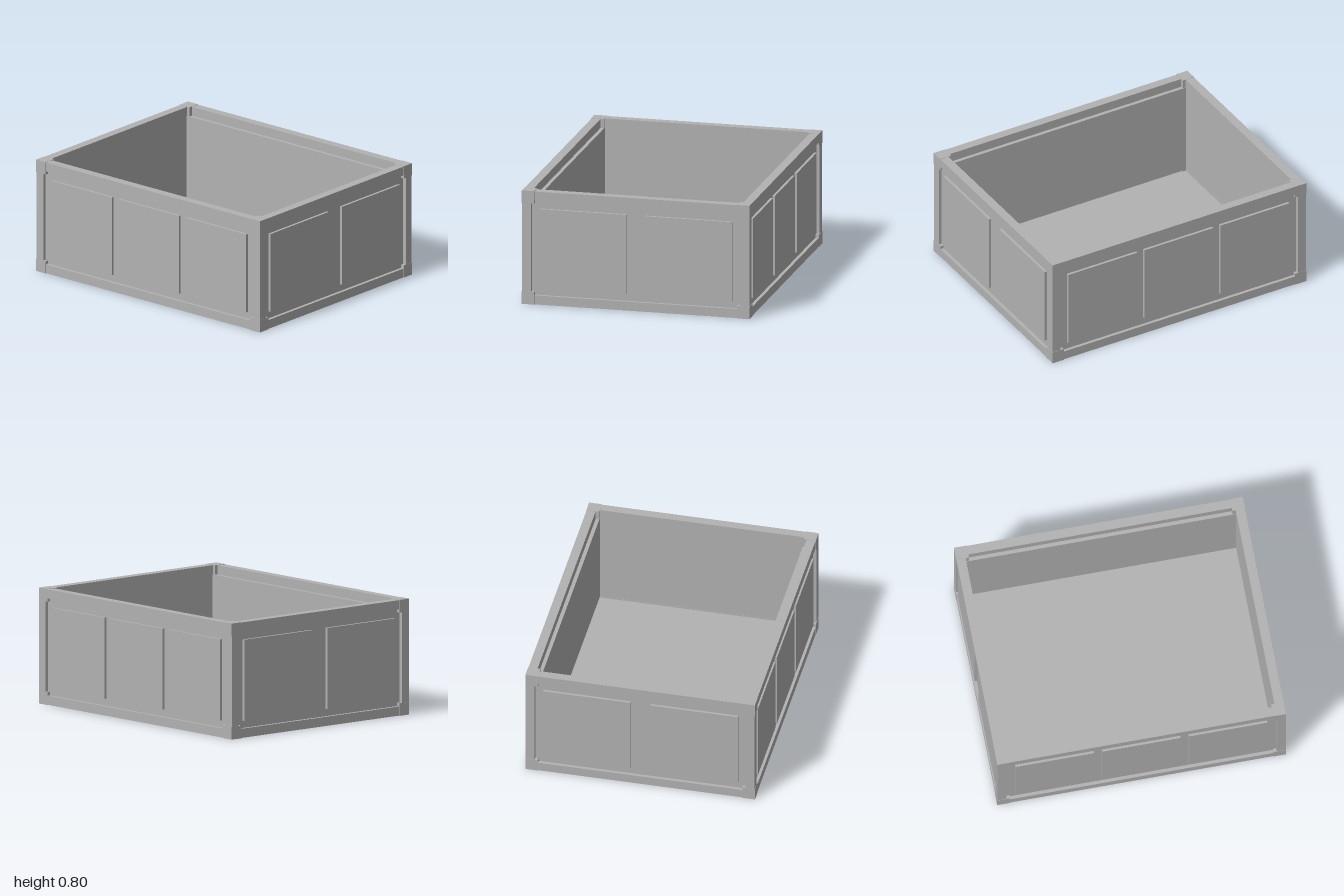
import * as THREE from 'three';

const W = 0.8, H = 0.8, D = 1;         // half width, height, half depth
const BAR = 0.065, CUBE = 0.088;       // frame bar and corner block thickness
const TRIM = 0.002;                    // bars sit just inside the corner blocks

export function createModel() {
  const model = new THREE.Group();
  model.name = 'openCrate';
  const grey = new THREE.MeshStandardMaterial({ color: 0xb2b2b2 });
  grey.name = 'grey';

  // box between two opposite corners
  function box(name, x0, x1, y0, y1, z0, z1) {
    const mesh = new THREE.Mesh(
      new THREE.BoxGeometry(Math.abs(x1 - x0), Math.abs(y1 - y0), Math.abs(z1 - z0)), grey);
    mesh.position.set((x0 + x1) / 2, (y0 + y1) / 2, (z0 + z1) / 2);
    mesh.name = name;
    model.add(mesh);
  }

  const low = [TRIM, BAR], high = [H - BAR, H - TRIM];
  for (const sx of [-1, 1]) {
    for (const sz of [-1, 1]) {
      // corner post with a block at each end
      box('cornerPost', sx * (W - BAR), sx * (W - TRIM), CUBE, H - CUBE,
        sz * (D - BAR), sz * (D - TRIM));
      for (const [y0, y1] of [[0, CUBE], [H - CUBE, H]]) {
        box('cornerBlock', sx * (W - CUBE), sx * W, y0, y1, sz * (D - CUBE), sz * D);
      }
    }
  }

  for (const s of [-1, 1]) {
    // horizontal frame bars
    for (const [y0, y1] of [low, high]) {
      box('endBar', -W + CUBE, W - CUBE, y0, y1, s * (D - BAR), s * (D - TRIM));
      box('sideBar', s * (W - BAR), s * (W - TRIM), y0, y1, -D + CUBE, D - CUBE);
    }
    // walls set back from the frame
    box('endWall', -W + BAR, W - BAR, BAR, H - BAR, s * 0.937, s * 0.975);
    box('sideWall', s * 0.709, s * 0.775, BAR, H - BAR, -D + BAR, D - BAR);
    // raised panels, two on each end and three on each side
    for (const c of [-0.374, 0.374]) {
      box('endPanel', c - 0.305, c + 0.305, 0.115, 0.675, s * 0.97, s * 0.993);
    }
    for (const c of [-0.6, 0, 0.6]) {
      box('sidePanel', s * 0.77, s * 0.793, 0.115, 0.675, c - 0.272, c + 0.272);
    }
  }

  // floor, recessed from below
  box('floor', -W + BAR, W - BAR, 0.035, 0.055, -D + BAR, D - BAR);
  return model;
}
